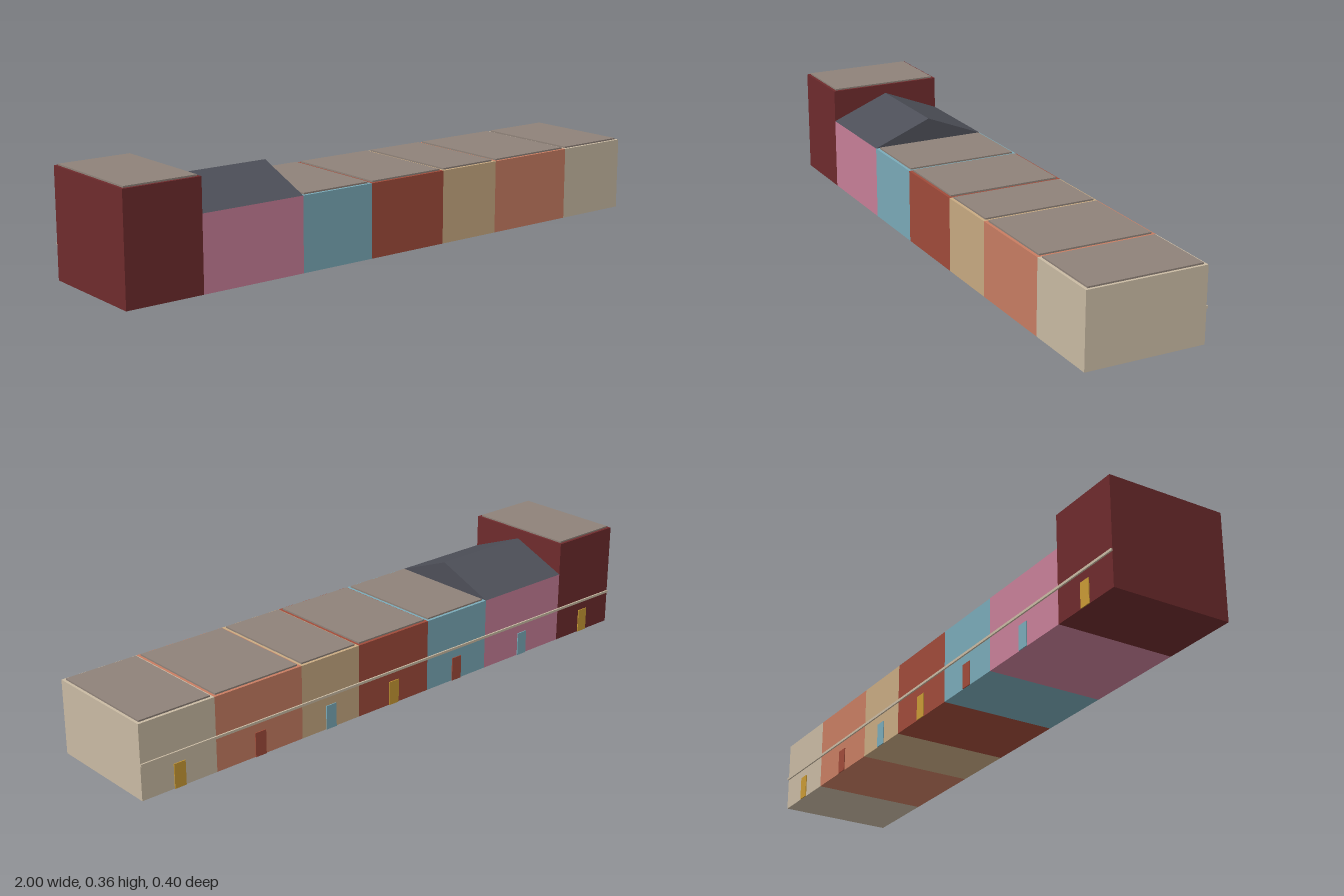
import * as THREE from 'three';

const mat = (name, color) => {
  const m = new THREE.MeshStandardMaterial({ color });
  m.name = name;
  return m;
};

export function createModel() {
  const model = new THREE.Group();
  model.name = 'terraceRow';

  const M = {
    maroon: mat('maroon', 0x6e2b2d), pink: mat('pink', 0xc87f98),
    teal: mat('teal', 0x7aaab8), brick: mat('brick', 0xa04b3a),
    tan: mat('tan', 0xc8aa82), salmon: mat('salmon', 0xc87d62),
    beige: mat('beige', 0xc9baa3), roof: mat('roofGrey', 0x8f8279),
    slate: mat('slate', 0x4d4f58), yellow: mat('yellow', 0xc99a35),
  };

  const FRONT = 0.2, BACK = -0.195, LOW = 0.243, TALL = 0.353;
  const DEPTH = FRONT - BACK, MID = (FRONT + BACK) / 2;

  // Box given by its extents on each axis
  const box = (name, material, x0, x1, y0, y1, z0, z1, parent) => {
    const mesh = new THREE.Mesh(new THREE.BoxGeometry(x1 - x0, y1 - y0, z1 - z0), material);
    mesh.position.set((x0 + x1) / 2, (y0 + y1) / 2, (z0 + z1) / 2);
    mesh.name = name;
    parent.add(mesh);
  };

  // Pitched roof with its ridge along x
  const gable = (x0, x1, y, rise, parent) => {
    const s = new THREE.Shape();
    s.moveTo(-DEPTH / 2, 0);
    s.lineTo(DEPTH / 2, 0);
    s.lineTo(0, rise);
    s.closePath();
    const g = new THREE.ExtrudeGeometry(s, { depth: x1 - x0, bevelEnabled: false });
    g.rotateY(Math.PI / 2);
    const mesh = new THREE.Mesh(g, M.slate);
    mesh.position.set(x0, y, MID);
    mesh.name = 'gableRoof';
    parent.add(mesh);
  };

  // Houses: x start, x end, height, wall, door, pitched roof
  const houses = [
    [-1, -0.74, TALL, 'maroon', 'yellow', false],
    [-0.74, -0.38, LOW, 'pink', 'teal', true],
    [-0.38, -0.115, LOW, 'teal', 'brick', false],
    [-0.115, 0.18, LOW, 'brick', 'yellow', false],
    [0.18, 0.41, LOW, 'tan', 'teal', false],
    [0.41, 0.735, LOW, 'salmon', 'brick', false],
    [0.735, 1, LOW, 'beige', 'yellow', false],
  ];

  for (const [x0, x1, h, wall, door, pitched] of houses) {
    const house = new THREE.Group();
    house.name = wall + 'House';
    model.add(house);
    box('walls', M[wall], x0, x1, 0, h, BACK, FRONT, house);

    if (pitched) gable(x0, x1, h, 0.079, house);
    else box('flatRoof', M.roof, x0 + 0.009, x1 - 0.009, h, h + 0.005, BACK + 0.01, FRONT - 0.01, house);

    // Street door on the back wall
    const cx = (x0 + x1) / 2;
    box('door', M[door], cx - 0.02, cx + 0.02, 0, 0.08, BACK - 0.003, BACK, house);
  }

  // Band running along the whole back wall
  box('stringCourse', M.beige, -1, 1, 0.11, 0.118, BACK - 0.005, BACK, model);

  return model;
}
